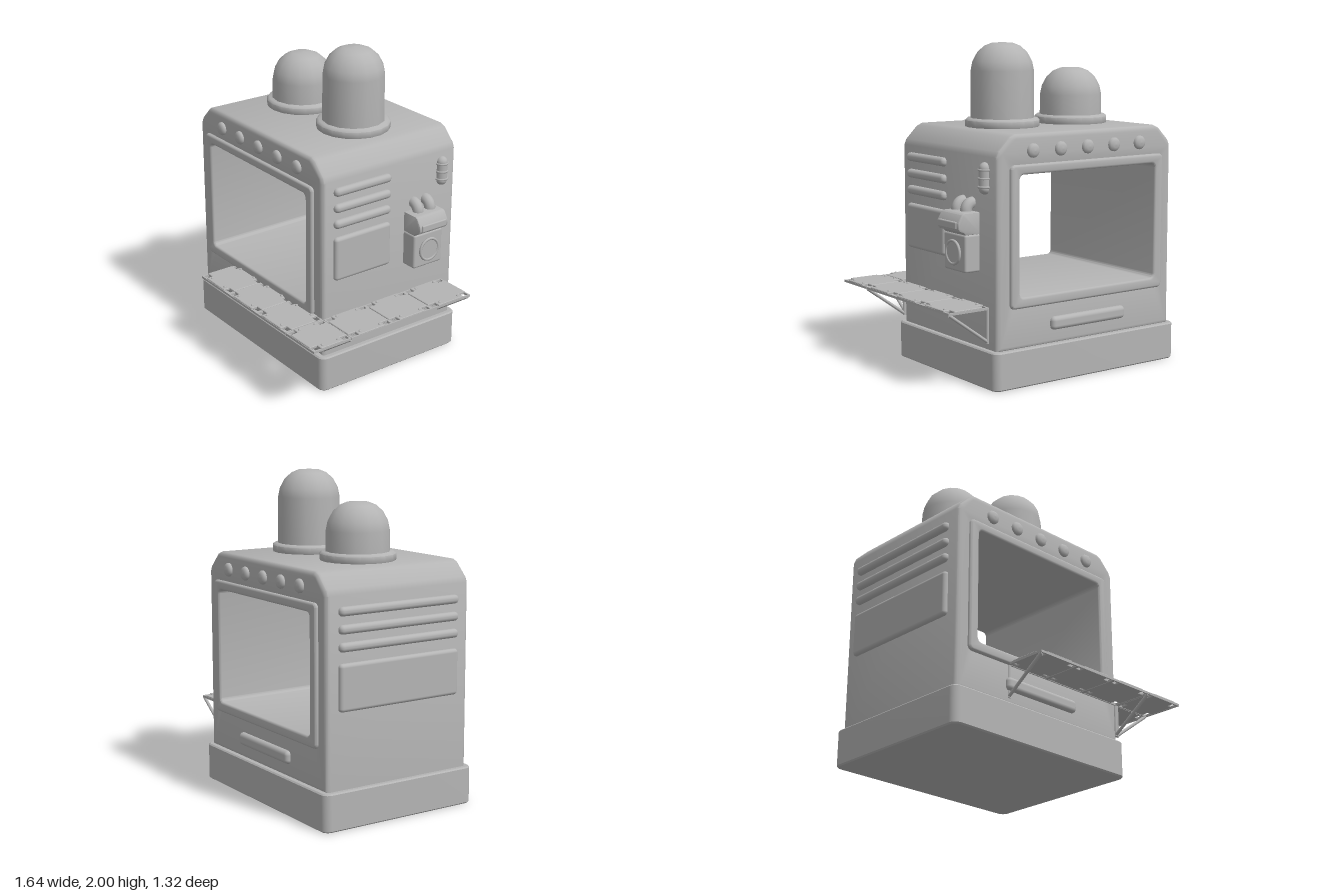
import * as THREE from 'three';
import { toCreasedNormals } from 'three/addons/utils/BufferGeometryUtils.js';
import { RoundedBoxGeometry } from 'three/addons/geometries/RoundedBoxGeometry.js';

export function createModel() {
  const model = new THREE.Group();
  const grey = new THREE.MeshStandardMaterial({ color: 0xb4b4b4 });
  grey.name = 'plain grey';

  const CX = -0.125, CZ = -0.122; // centre of the cabinet
  const FRONT = 0.388, BACK = -0.632, LEFT = 0.54, RIGHT = -0.79;

  function add(name, geo, x = 0, y = 0, z = 0, parent = model) {
    const m = new THREE.Mesh(geo, grey);
    m.name = name;
    m.position.set(x, y, z);
    parent.add(m);
    return m;
  }
  const poly = pts => new THREE.Shape(pts.map(p => new THREE.Vector2(...p)));
  function roundRect(x0, y0, x1, y1, r, Type = THREE.Shape) {
    const s = new Type();
    s.absarc(x1 - r, y1 - r, r, 0, Math.PI / 2);
    s.absarc(x0 + r, y1 - r, r, Math.PI / 2, Math.PI);
    s.absarc(x0 + r, y0 + r, r, Math.PI, Math.PI * 1.5);
    s.absarc(x1 - r, y0 + r, r, Math.PI * 1.5, Math.PI * 2);
    s.closePath();
    return s;
  }
  // Extrusion centred on z = 0 whose bevel stays inside the outline
  function slab(shape, depth, bevel, segs = 3) {
    const g = new THREE.ExtrudeGeometry(shape, {
      depth: depth - 2 * bevel, bevelEnabled: bevel > 0, bevelSize: bevel,
      bevelThickness: bevel, bevelOffset: -bevel, bevelSegments: segs, curveSegments: 5,
    });
    g.translate(0, 0, -(depth - 2 * bevel) / 2);
    return toCreasedNormals(g, 0.6);
  }
  const rbox = (w, h, d, r) => new RoundedBoxGeometry(w, h, d, 3, r);
  // Round rod between two points
  function rod(name, a, b, r, parent) {
    const A = new THREE.Vector3(...a), B = new THREE.Vector3(...b);
    const m = add(name, new THREE.CylinderGeometry(r, r, A.distanceTo(B), 8), 0, 0, 0, parent);
    m.position.copy(A).add(B).multiplyScalar(0.5);
    m.quaternion.setFromUnitVectors(new THREE.Vector3(0, 1, 0), B.clone().sub(A).normalize());
  }

  // Plinth
  const plinth = slab(roundRect(-0.6975, -0.539, 0.6975, 0.539, 0.05), 0.23, 0.008, 1);
  add('plinth', plinth.rotateX(-Math.PI / 2), CX, 0.115, CZ);

  // Cabinet with chamfered shoulders and an opening right through
  const body = poly([[-0.79, 0.22], [0.54, 0.22], [0.54, 1.36], [0.525, 1.395], [0.445, 1.475],
    [0.41, 1.49], [-0.66, 1.49], [-0.695, 1.475], [-0.775, 1.395], [-0.79, 1.36]]);
  body.holes.push(roundRect(-0.67, 0.51, 0.42, 1.28, 0.03, THREE.Path));
  add('cabinet', slab(body, FRONT - BACK, 0.028), 0, 0, CZ);

  // Frame lining the opening, raised on both faces
  const frame = roundRect(-0.71, 0.47, 0.453, 1.313, 0.03);
  frame.holes.push(roundRect(-0.645, 0.535, 0.39, 1.255, 0.03, THREE.Path));
  add('openingFrame', slab(frame, 1.062, 0.014), 0, 0, CZ);

  // Buttons and slot bar on both faces
  const buttonProfile = [[0.042, 0], [0.042, 0.012], [0.035, 0.022], [0.02, 0.028], [0, 0.03]]
    .map(p => new THREE.Vector2(...p));
  for (const [z, s] of [[FRONT, 1], [BACK, -1]]) {
    for (let i = 0; i < 5; i++) {
      const b = add('button', new THREE.LatheGeometry(buttonProfile, 20), -0.525 + i * 0.203, 1.39, z - s * 0.002);
      b.rotation.x = s * Math.PI / 2;
    }
    add('slotBar', rbox(0.565, 0.08, 0.06, 0.026), -0.128, 0.35, z);
  }

  // Vents and service panels on the sides
  for (const y of [1.29, 1.187, 1.085]) {
    add('leftVent', rbox(0.06, 0.054, 0.42, 0.025), LEFT, y, 0.1);
    add('rightVent', rbox(0.06, 0.054, 0.85, 0.025), RIGHT, y - 0.022, -0.125);
  }
  add('leftPanel', rbox(0.06, 0.28, 0.42, 0.022), LEFT - 0.004, 0.86, 0.1);
  add('rightPanel', rbox(0.06, 0.28, 0.85, 0.022), RIGHT + 0.004, 0.83, -0.125);

  // Domes on round flanges
  function dome(x, top) {
    const g = new THREE.Group();
    g.name = 'dome';
    g.position.set(x, 0, -0.135);
    model.add(g);
    const flange = [[0, 1.48], [0.22, 1.48], [0.23, 1.495], [0.23, 1.53], [0.215, 1.543], [0, 1.543]];
    add('domeFlange', toCreasedNormals(new THREE.LatheGeometry(flange.map(p => new THREE.Vector2(...p)), 18), 0.9), 0, 0, 0, g);
    const cap = [[0.195, 1.535], [0.193, top - 0.17], [0.182, top - 0.115], [0.152, top - 0.06],
      [0.11, top - 0.022], [0.065, top - 0.004], [0, top]];
    add('domeCap', new THREE.LatheGeometry(cap.map(p => new THREE.Vector2(...p)), 14), 0, 0, 0, g);
  }
  dome(-0.385, 1.837);
  dome(0.147, 2.0);

  // Ribbed lamp on the left side
  add('lamp', new THREE.CapsuleGeometry(0.036, 0.115, 6, 14), LEFT + 0.005, 1.235, -0.517);
  for (const y of [1.185, 1.235, 1.285]) {
    const ring = add('lampRib', new THREE.TorusGeometry(0.037, 0.007, 6, 16), LEFT + 0.005, y, -0.517);
    ring.rotation.x = Math.PI / 2;
  }

  // Meter box with hood, dial and two bent pipes
  const meter = new THREE.Group();
  meter.name = 'meter';
  meter.position.z = -0.343;
  model.add(meter);
  add('meterBox', rbox(0.12, 0.225, 0.225, 0.014), 0.582, 0.79, 0, meter);
  const hood = poly([[0.53, 0.9], [0.635, 0.9], [0.65, 0.915], [0.678, 0.925], [0.69, 0.945],
    [0.69, 0.975], [0.66, 1.022], [0.645, 1.03], [0.53, 1.03]]);
  add('meterHood', slab(hood, 0.225, 0.008, 2), 0, 0, 0, meter);
  add('hoodPlate', rbox(0.03, 0.045, 0.19, 0.008), 0.682, 0.96, 0, meter);
  const dial = add('dial', new THREE.CylinderGeometry(0.066, 0.066, 0.03, 28), 0.64, 0.79, 0, meter);
  dial.rotation.z = Math.PI / 2;
  const rim = add('dialRim', new THREE.TorusGeometry(0.069, 0.009, 8, 28), 0.652, 0.79, 0, meter);
  rim.rotation.y = Math.PI / 2;
  for (const z of [0.047, -0.047])
    add('pipe', new THREE.TorusGeometry(0.046, 0.035, 12, 10, Math.PI / 2), 0.545, 1.035, z, meter);

  // L-shaped counter made of notched tiles with bolts
  const counter = new THREE.Group();
  counter.name = 'counter';
  model.add(counter);
  function tile(x, z, w, d, alongX) {
    const a = w / 2 - 0.002, b = d / 2 - 0.003;
    const nx = alongX ? 0.052 : 0.042, nz = alongX ? 0.042 : 0.052;
    const p = [];
    for (const [sx, sz] of [[1, 1], [-1, 1], [-1, -1], [1, -1]]) {
      const c = [[a, b - nz], [a - nx, b - nz], [a - nx, b]];
      if (sx * sz < 0) c.reverse();
      p.push(...c.map(([u, v]) => [u * sx, v * sz]));
      add('bolt', new THREE.SphereGeometry(0.01, 8, 6), x + sx * (a - (alongX ? 0.078 : 0.025)), 0.487,
        z + sz * (b - (alongX ? 0.025 : 0.078)), counter);
    }
    const plate = slab(poly(p), 0.018, 0.003, 1).rotateX(-Math.PI / 2);
    add('counterTile', plate, x, 0.479, z, counter);
    // Thin bars around the tile
    for (const s of [-1, 1]) {
      add('tileBar', new THREE.BoxGeometry(w, 0.014, 0.01), x, 0.474, z + s * (d / 2 - 0.005), counter);
      add('tileBar', new THREE.BoxGeometry(0.01, 0.014, d), x + s * (w / 2 - 0.005), 0.474, z, counter);
    }
  }
  for (let i = 0; i < 3; i++) {
    tile(-0.24 + i * 0.31, 0.523, 0.31, 0.274, true);
    tile(0.68, 0.228 - i * 0.31, 0.28, 0.31, false);
  }
  tile(0.68, 0.523, 0.28, 0.274, false);

  // Triangular brackets: front run, then side run
  for (const x of [-0.385, 0.53]) {
    rod('bracketPost', [x, 0.265, 0.385], [x, 0.475, 0.385], 0.011, counter);
    rod('bracketStrut', [x, 0.275, 0.385], [x, 0.467, 0.65], 0.01, counter);
  }
  for (const z of [0.385, -0.538]) {
    rod('bracketPost', [0.543, 0.265, z], [0.543, 0.475, z], 0.011, counter);
    rod('bracketStrut', [0.543, 0.275, z], [0.81, 0.467, z], 0.01, counter);
  }
  return model;
}
